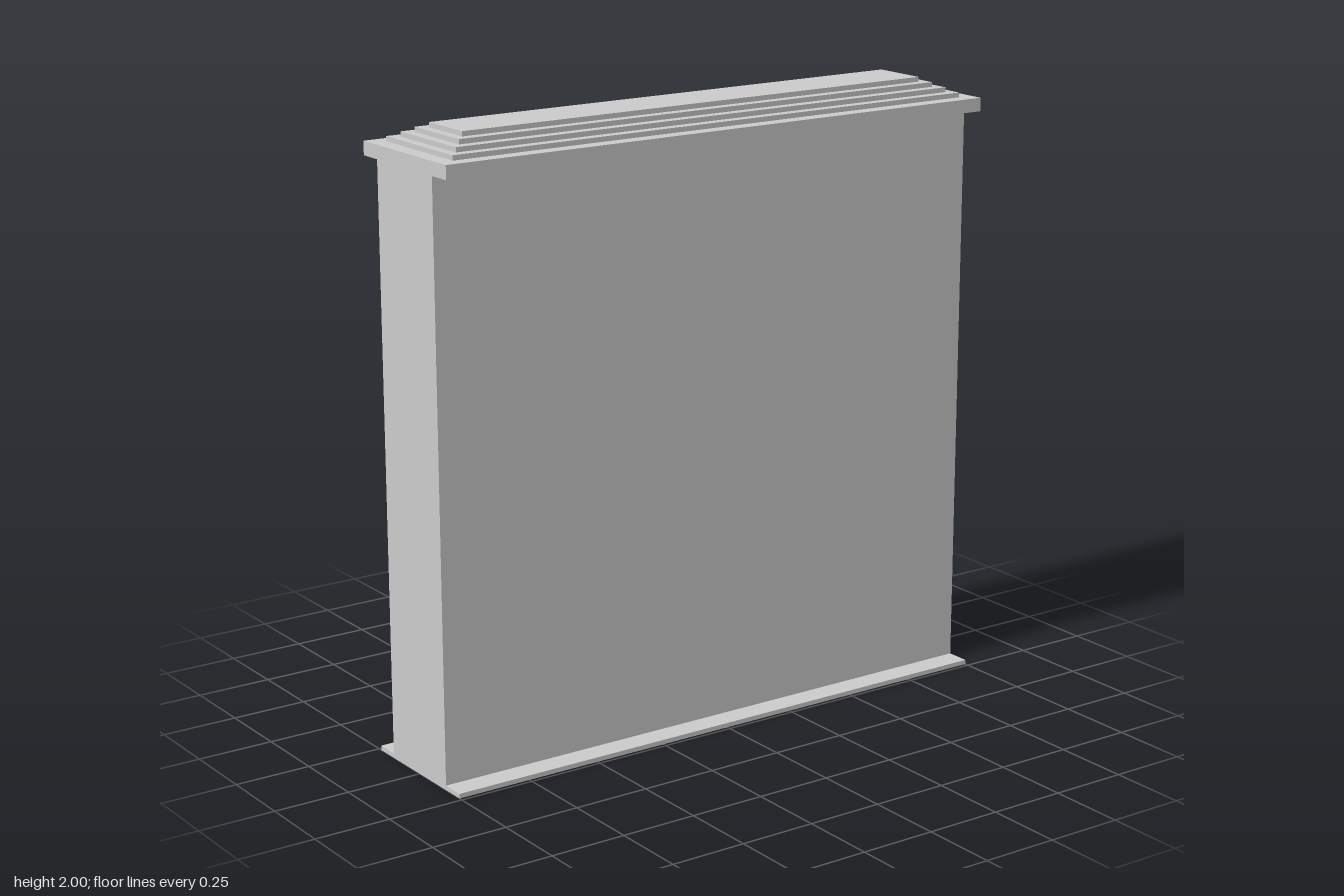
import * as THREE from 'three';

export function createModel() {
  const model = new THREE.Group();
  const material = new THREE.MeshStandardMaterial({ color: 0xcccccc });

  // Centred box spanning bottom..top in height
  function slab(name, halfX, halfZ, bottom, top) {
    const geometry = new THREE.BoxGeometry(halfX * 2, top - bottom, halfZ * 2);
    const mesh = new THREE.Mesh(geometry, material);
    mesh.name = name;
    mesh.position.y = (bottom + top) / 2;
    model.add(mesh);
  }

  const capTop = 1.938;
  slab('basePlate', 1, 0.237, 0, 0.015);
  slab('wallPanel', 1, 0.158, 0.015, 1.894);
  slab('capPlate', 1, 0.237, 1.894, capTop);

  // Four stepped layers tapering on top of the cap
  const rise = (2 - capTop) / 4;
  for (let i = 0; i < 4; i++) {
    slab(`capStep${i + 1}`, 0.949 - i * 0.0305, 0.19 - i * 0.032, capTop + i * rise, capTop + (i + 1) * rise);
  }

  return model;
}
